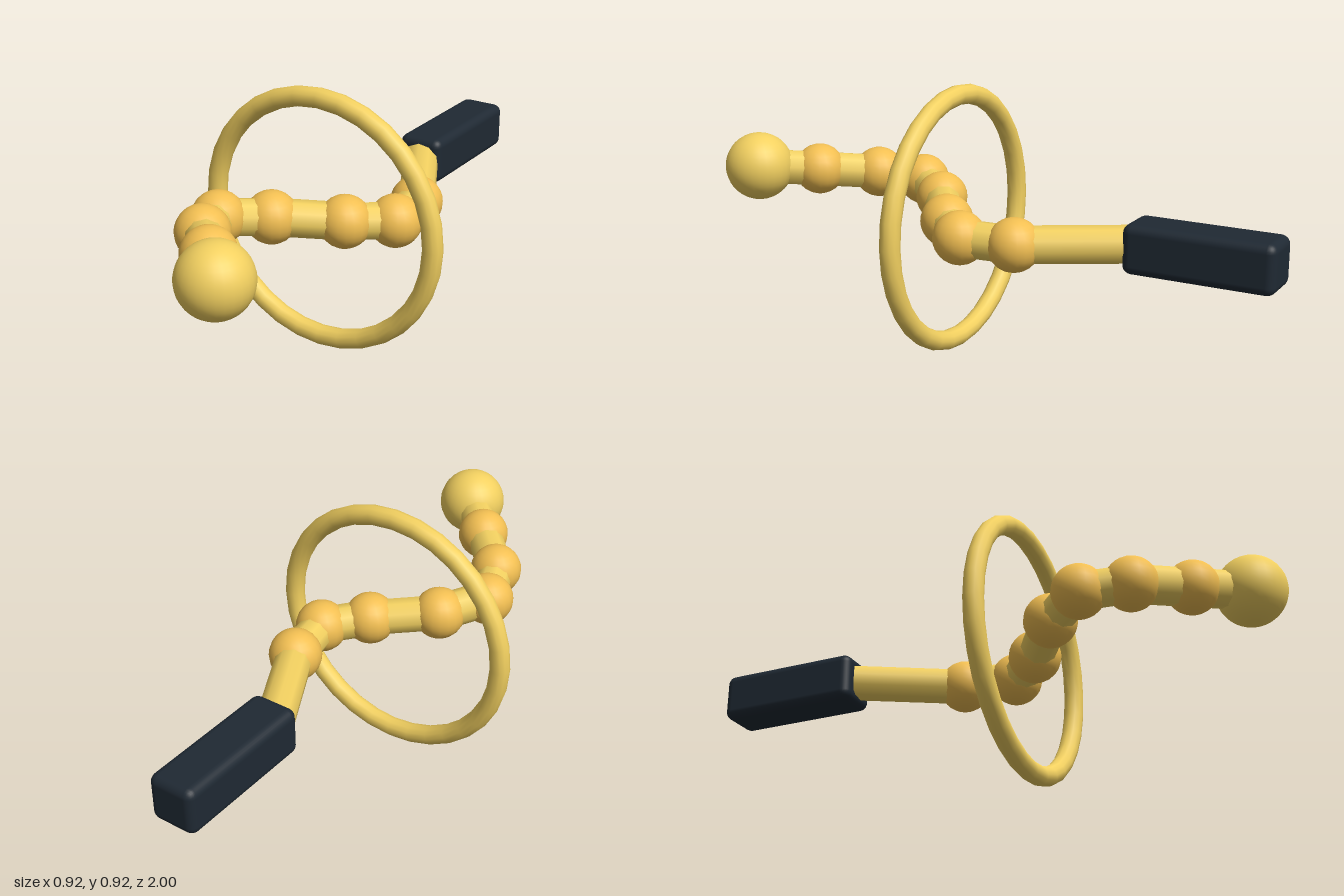
import * as THREE from 'three';
import { RoundedBoxGeometry } from 'three/addons/geometries/RoundedBoxGeometry.js';

export function createModel() {
  const model = new THREE.Group();
  model.name = 'beadedWand';
  const gold = new THREE.MeshStandardMaterial({ color: 0xf2d060 });
  const amber = new THREE.MeshStandardMaterial({ color: 0xf2bf52 });
  const dark = new THREE.MeshStandardMaterial({ color: 0x1f2933 });

  const add = (name, geometry, material, position) => {
    const mesh = new THREE.Mesh(geometry, material);
    mesh.name = name;
    mesh.position.copy(position);
    model.add(mesh);
    return mesh;
  };

  // Path of the chain, from the handle to the round tip
  const path = [
    [0, 0.462, -0.515],
    [0.182, 0.457, -0.17],
    [0.21, 0.462, 0.015],
    [0.09, 0.475, 0.135],
    [-0.105, 0.495, 0.272],
    [-0.213, 0.52, 0.412],
    [-0.153, 0.542, 0.567],
    [-0.005, 0.566, 0.723],
    [0.14, 0.588, 0.88],
  ].map((p) => new THREE.Vector3(...p));

  // Joint balls and the larger tip
  const ball = new THREE.SphereGeometry(0.09, 20, 14);
  path.slice(1, -1).forEach((p, i) => add(`jointBall${i + 1}`, ball, amber, p));
  add('tipBall', new THREE.SphereGeometry(0.119, 28, 20), gold, path.at(-1));

  // Straight links between neighbouring points
  const up = new THREE.Vector3(0, 1, 0);
  for (let i = 0; i < path.length - 1; i++) {
    const [a, b] = [path[i], path[i + 1]];
    const link = add(`link${i + 1}`, new THREE.CylinderGeometry(0.063, 0.063, a.distanceTo(b), 10),
      gold, a.clone().lerp(b, 0.5));
    link.quaternion.setFromUnitVectors(up, b.clone().sub(a).normalize());
  }

  // Ring around the chain
  add('ring', new THREE.TorusGeometry(0.425, 0.034, 12, 32), gold, new THREE.Vector3(0, 0.46, 0.145));

  // Soft-edged grip
  add('handle', new RoundedBoxGeometry(0.166, 0.166, 0.505, 3, 0.03), dark,
    new THREE.Vector3(0, 0.462, -0.748));

  return model;
}
